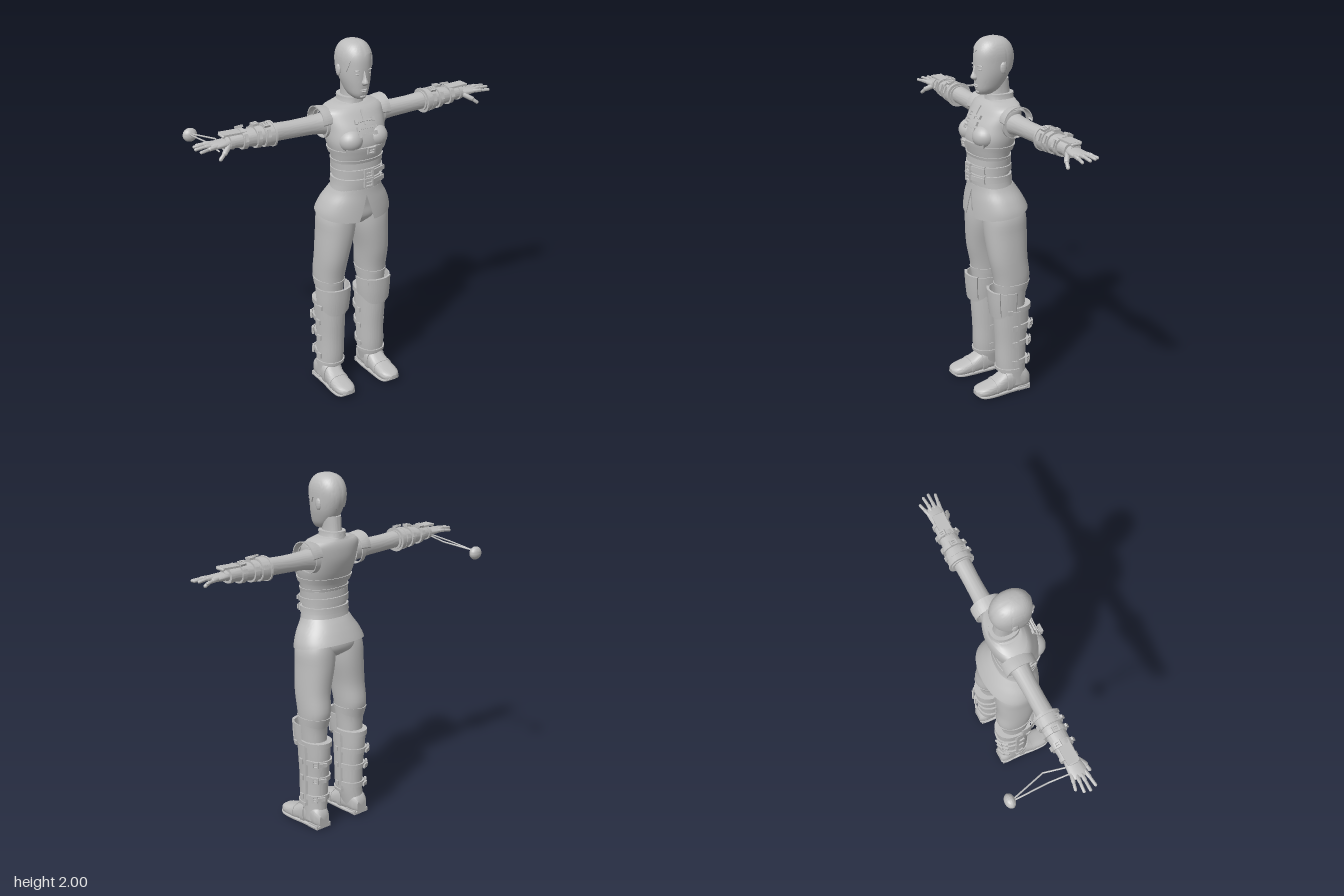
import * as THREE from 'three';
import { toCreasedNormals, mergeGeometries } from 'three/addons/utils/BufferGeometryUtils.js';

const V = (x, y, z) => new THREE.Vector3(x, y, z);
const PI = Math.PI;

// Cross-sections are [y, centreX, radiusX, backZ, frontZ]; blended smoothly along y
function sectionAt(secs, y) {
  const last = secs.length - 1;
  y = Math.min(Math.max(y, secs[0][0]), secs[last][0]);
  let i = 0;
  while (i < last - 1 && y > secs[i + 1][0]) i++;
  const slope = (j, k) => {
    const a = secs[Math.max(j - 1, 0)], b = secs[Math.min(j + 1, last)];
    return (b[k] - a[k]) / (b[0] - a[0]);
  };
  const h = secs[i + 1][0] - secs[i][0], t = (y - secs[i][0]) / h, t2 = t * t, t3 = t2 * t;
  return [1, 2, 3, 4].map(k => (2 * t3 - 3 * t2 + 1) * secs[i][k] + (t3 - 2 * t2 + t) * h * slope(i, k)
    + (3 * t2 - 2 * t3) * secs[i + 1][k] + (t3 - t2) * h * slope(i + 1, k));
}
function pointOn(secs, y, a, grow = 0, p = 2.2) {
  const [cx, rx, zb, zf] = sectionAt(secs, y);
  const f = c => Math.sign(c) * Math.abs(c) ** (2 / p);
  return V(cx + (rx + grow) * f(Math.cos(a)), y, (zb + zf) / 2 + ((zf - zb) / 2 + grow) * f(Math.sin(a)));
}
const layer = (g, k = 8) => [[0, 0], ...Array.from({ length: k + 1 }, (_, i) => [i / k, g]), [1, 0]];

// Skin over the sections; lo/hi trim it, rows give [fraction, outward growth]
function loft(secs, o = {}) {
  const { p = 2.2, n = 48, a0 = 0, a1 = 2 * PI, cap = true } = o;
  const lo = o.lo ?? secs[0][0], hi = o.hi ?? secs[secs.length - 1][0];
  const rows = o.rows ?? Array.from({ length: 25 }, (_, i) => [i / 24, 0]);
  const full = a1 - a0 > 6.28, cols = full ? n : n + 1, pos = [], idx = [];
  for (const [s, g] of rows) for (let i = 0; i < cols; i++) {
    const a = a0 + (a1 - a0) * i / n, l = typeof lo === 'function' ? lo(a) : lo;
    const edge = !full && (i === 0 || i === n);
    pos.push(...pointOn(secs, l + (hi - l) * s, a, edge ? 0 : g, p).toArray());
  }
  for (let r = 0; r < rows.length - 1; r++) for (let i = 0; i < n; i++) {
    const a = r * cols + i, b = r * cols + (i + 1) % cols;
    idx.push(a, a + cols, b, b, a + cols, b + cols);
  }
  if (cap && full) for (const top of [0, 1]) {
    const y = top ? hi : (typeof lo === 'function' ? lo(0) : lo), [cx, , zb, zf] = sectionAt(secs, y);
    if (!top && typeof lo === 'function') continue;
    const c = pos.length / 3, base = top ? (rows.length - 1) * cols : 0;
    pos.push(cx, y, (zb + zf) / 2);
    for (let i = 0; i < n; i++) {
      const a = base + i, b = base + (i + 1) % n;
      idx.push(...(top ? [a, c, b] : [a, b, c]));
    }
  }
  const g = new THREE.BufferGeometry();
  g.setAttribute('position', new THREE.Float32BufferAttribute(pos, 3));
  g.setIndex(idx);
  return g;
}
const band = (secs, lo, hi, g, o = {}) => loft(secs, { lo, hi, rows: layer(g, 3), cap: false, ...o });

// Seat a small piece on the skin, facing outward
function place(geo, secs, y, a, grow = 0, p = 2.2) {
  const o = pointOn(secs, y, a, grow, p), e = 0.01;
  const u = pointOn(secs, y, a - e, grow, p).sub(pointOn(secs, y, a + e, grow, p)).normalize();
  const v = pointOn(secs, y + e, a, grow, p).sub(pointOn(secs, y - e, a, grow, p));
  const n = u.clone().cross(v).normalize();
  return geo.applyMatrix4(new THREE.Matrix4().makeBasis(u, n.clone().cross(u), n).setPosition(o));
}
const box = (w, h, d) => new THREE.BoxGeometry(w, h, d);
const ball = (x, y, z, a, b, c) => new THREE.SphereGeometry(1, 24, 16).scale(a, b, c).translate(x, y, z);
function rod(a, b, r) {
  const d = b.clone().sub(a), q = new THREE.Quaternion().setFromUnitVectors(V(0, 1, 0), d.clone().normalize());
  return new THREE.CapsuleGeometry(r, d.length(), 5, 10).applyQuaternion(q).translate(...a.clone().add(b).multiplyScalar(0.5).toArray());
}
// Square buckle frame with a prong
function buckle(w, h, t = 0.008) {
  const rect = (c, x, y) => c.moveTo(-x, -y).lineTo(x, -y).lineTo(x, y).lineTo(-x, y).closePath();
  const s = rect(new THREE.Shape(), w / 2, h / 2);
  s.holes.push(rect(new THREE.Path(), w / 2 - t, h / 2 - t));
  const frame = new THREE.ExtrudeGeometry(s, { depth: 0.012, bevelEnabled: false });
  return mergeGeometries([frame, box(w, 0.006, 0.008).translate(0, 0, 0.008).toNonIndexed()]);
}

// Body cross-sections
const HEAD = [[1.695, 0, .025, .12, .19], [1.715, 0, .046, .08, .205], [1.76, 0, .064, .04, .211], [1.81, 0, .076, .015, .213],
  [1.87, 0, .08, 0, .214], [1.92, 0, .079, .005, .208], [1.96, 0, .066, .025, .188], [1.985, 0, .042, .055, .16], [1.995, 0, .015, .09, .125]];
const NECK = [[1.63, 0, .06, 0, .14], [1.68, 0, .046, .01, .13], [1.77, 0, .046, .02, .125]];
const VEST = [[1.36, 0, .139, .04, .235], [1.4, 0, .147, .03, .245], [1.47, 0, .165, 0, .256], [1.54, 0, .17, -.02, .236],
  [1.6, 0, .178, -.022, .2], [1.635, 0, .17, -.015, .175], [1.652, 0, .12, -.005, .155], [1.665, 0, .065, 0, .14]];
const WAIST = [[1.17, 0, .145, .02, .23], [1.24, 0, .133, .033, .235], [1.3, 0, .133, .037, .235], [1.38, 0, .14, .04, .232]];
const SKIRT = [[1, 0, .212, -.07, .25], [1.07, 0, .208, -.057, .247], [1.13, 0, .185, -.03, .243], [1.18, 0, .153, 0, .238], [1.21, 0, .138, .022, .236]];
const HIPS = [[.985, 0, .08, .04, .17], [1.03, 0, .18, -.02, .21], [1.1, 0, .18, -.02, .215], [1.2, 0, .135, .03, .225]];
const LEG = [[.48, .135, .065, 0, .15], [.6, .136, .072, -.008, .165], [.68, .135, .079, -.03, .175], [.8, .128, .086, -.02, .2],
  [.95, .108, .099, -.024, .215], [1.05, .1, .1, -.02, .214], [1.14, .075, .08, 0, .2]];
const BOOT = [[.04, .145, .052, -.012, .13], [.15, .135, .062, -.008, .15], [.3, .132, .065, -.015, .155], [.42, .133, .07, -.028, .162], [.52, .134, .074, -.03, .165]];
const KNEE = [[.45, .134, .08, 0, .18], [.54, .132, .088, 0, .19], [.63, .13, .094, -.01, .196]];
// Arms run along x (second value is minus height), feet along z (last two are minus top and minus bottom)
const ARM = [[.13, -1.555, .062, .01, .13], [.22, -1.558, .05, .018, .115], [.35, -1.56, .046, .022, .11],
  [.47, -1.565, .046, .02, .112], [.6, -1.568, .04, .022, .11], [.74, -1.567, .024, .032, .1]];
const BRACER = [[.46, -1.562, .054, .006, .124], [.54, -1.564, .05, .01, .12], [.62, -1.566, .044, .016, .115], [.72, -1.568, .034, .022, .107]];
const PALM = [[.7, -1.567, .022, .034, .1], [.75, -1.566, .02, .026, .112], [.8, -1.566, .015, .024, .115], [.825, -1.567, .009, .03, .105]];
const FOOT = [[-.022, .145, .035, -.09, -.01], [0, .145, .05, -.12, -.005], [.06, .143, .053, -.145, 0], [.12, .144, .054, -.125, 0],
  [.19, .147, .057, -.088, 0], [.26, .148, .057, -.068, -.004], [.295, .148, .044, -.058, -.01], [.31, .148, .02, -.045, -.02]];
const SOLE = FOOT.map(([z, x, r, t, b]) => [z, x, r + .003, Math.min(b - .014, -.02), b]);

export function createModel() {
  const model = new THREE.Group();
  const grey = new THREE.MeshStandardMaterial({ color: 0xbdbdbd, side: THREE.DoubleSide });
  grey.name = 'plain grey';
  const add = (name, geo) => {
    const m = new THREE.Mesh(toCreasedNormals(geo, 0.65), grey);
    m.name = name;
    model.add(m);
  };
  const pair = (name, geo) => {
    add(name + 'Left', geo);
    const g = (geo.index ? geo.toNonIndexed() : geo.clone()).scale(-1, 1, 1);
    for (const at of Object.values(g.attributes)) for (let i = 0; i < at.count; i += 3) for (let k = 0; k < at.itemSize; k++) {
      const t = at.getComponent(i + 1, k);
      at.setComponent(i + 1, k, at.getComponent(i + 2, k));
      at.setComponent(i + 2, k, t);
    }
    add(name + 'Right', g);
  };
  const alongX = g => g.rotateZ(-PI / 2), alongZ = g => g.rotateX(PI / 2);

  // Head and face
  add('head', loft(HEAD));
  add('neck', loft(NECK));
  const hairline = a => {
    const s = Math.sin(a), front = THREE.MathUtils.smoothstep(s, .35, .85);
    if (s > .18) return 1.84 + .095 * front - .012 * Math.max(0, 1 - Math.abs(Math.cos(a)) * 8);
    return s > -.3 ? 1.872 : 1.815 + .01 * Math.cos(a * 6);
  };
  add('hair', loft(HEAD, { lo: hairline, n: 72, rows: layer(.007, 20).slice(0, -1) }));
  add('nose', loft([[1.773, 0, .012, .18, .218], [1.788, 0, .017, .18, .238], [1.81, 0, .01, .18, .23], [1.85, 0, .008, .18, .216]], { n: 16 }));
  add('upperLip', ball(0, 1.749, .206, .021, .005, .011));
  add('lowerLip', ball(0, 1.739, .204, .017, .006, .012));
  add('chin', ball(0, 1.712, .188, .022, .016, .02));
  pair('eye', ball(.033, 1.833, .197, .014, .006, .011));
  pair('brow', ball(.034, 1.853, .198, .02, .005, .013).rotateZ(.001));
  pair('ear', ball(.081, 1.838, .088, .009, .032, .019));

  // Vest with collar, hem, back yoke and shoulder caps
  add('vest', loft(VEST));
  pair('chest', ball(.075, 1.485, .2, .068, .062, .066));
  add('collar', band(NECK, 1.655, 1.685, .016));
  add('collarRim', band(NECK, 1.683, 1.693, .02));
  add('neckYoke', band(VEST, 1.645, 1.662, .006));
  add('chestBand', band(VEST, a => 1.41 + .008 * Math.sin(a), 1.435, .008));
  add('vestHem', band(VEST, 1.36, 1.376, .007));
  const CAP = [[.14, -1.57, .07, -.012, .15], [.18, -1.567, .08, -.014, .152], [.207, -1.563, .088, -.012, .15]];
  pair('shoulderCap', alongX(loft(CAP, { a0: PI * .52, a1: PI * 1.48, rows: layer(.006) })));
  const ringSecs = [[.15, -1.563, .078, -.008, .146], [.18, -1.56, .072, -.004, .142]];
  pair('armholeRim', alongX(loft(ringSecs, { rows: layer(.005, 3), cap: false })));

  // Front closure of toggles and the chest buckle
  const F = PI / 2;
  add('placket', place(box(.012, .08, .008), VEST, 1.6, F, .002));
  [1.585, 1.552, 1.52].forEach((y, i) => {
    add('toggleBar' + i, place(box(i === 1 ? .12 : .1, .01, .01), VEST, y, F, .006));
    for (const s of [-1, 1]) add('toggleEnd' + i, place(box(.018, .022, .014), VEST, y, F + s * .24, .008));
  });
  add('chestStrap', band(VEST, 1.433, 1.452, .012, { a0: F - .8, a1: F + .8 }));
  add('chestBuckle', place(buckle(.045, .04), VEST, 1.442, F, .022));

  // Waist wrap and belts
  add('waist', loft(WAIST));
  add('upperWrap', band(WAIST, 1.325, 1.362, .008));
  add('lowerWrap', band(WAIST, 1.2, 1.238, .006));
  [1.305, 1.252].forEach((y, i) => {
    add('belt' + i, band(WAIST, y - .017, y + .017, .011));
    add('beltBuckle' + i, place(buckle(.055, .05), WAIST, y, F, .018));
    add('beltTongue' + i, place(box(.1, .024, .008), WAIST, y, F - .45, .017));
    add('beltLoop' + i, place(box(.012, .042, .012), WAIST, y, F - .75, .014));
  });

  // Split skirt over the hips
  const skirtHem = a => 1.055 - .028 * Math.sin(a) + (Math.sin(a) > 0 ? Math.max(0, .15 - Math.abs(Math.cos(a)) * .85) : 0);
  add('skirt', loft(SKIRT, { lo: skirtHem, n: 96, rows: layer(.004, 14), cap: false }));
  add('hips', loft(HIPS));

  // Legs, boots and guards
  pair('trouserLeg', loft(LEG));
  pair('trouserFold', band(LEG, a => .625 + .02 * Math.sin(a), .66, .006, { p: 2 }));
  pair('bootShaft', loft(BOOT));
  pair('bootCuff', band(BOOT, .49, .52, .008));
  pair('shinGuard', loft(BOOT, { lo: .14, hi: .5, a0: -.12, a1: PI + .12, rows: layer(.012, 12) }));
  pair('shinGuardRim', band(BOOT, .132, .15, .019, { a0: -.12, a1: PI + .12 }));
  const kneeHem = a => .46 + .05 * Math.abs(Math.cos(a)) ** 4;
  pair('kneeGuard', loft(KNEE, { lo: kneeHem, hi: .618, a0: -.1, a1: PI + .1, rows: layer(.006) }));
  pair('kneePanel', loft(KNEE, { lo: a => .468 + .02 * Math.abs(Math.cos(a)), hi: .622, a0: F - .75, a1: F + .75, rows: layer(.013) }));
  pair('kneeStud', place(box(.026, .026, .012), KNEE, .505, .3, .008));
  [.4, .3, .185].forEach((y, i) => {
    pair('bootStrap' + i, band(BOOT, y - .014, y + .014, .01, { a0: -PI - .1, a1: .1 }));
    pair('bootBuckle' + i, place(buckle(.035, .04), BOOT, y, -.75, .012));
    pair('bootTongue' + i, place(box(.045, .022, .01), BOOT, y, -1.2, .02));
    pair('bootStud' + i, place(box(.03, .03, .012), BOOT, y, .2, .014));
    pair('innerStud' + i, place(box(.024, .026, .01), BOOT, y, PI - .2, .013));
  });
  pair('shoe', alongZ(loft(FOOT, { p: 2.6 })));
  pair('sole', alongZ(loft(SOLE, { p: 5 })));
  pair('heel', box(.1, .025, .075).translate(.145, .0125, .022));
  pair('instepStrap', alongZ(band(FOOT, .1, .13, .006, { p: 2.6 })));
  pair('toeSeam', alongZ(band(FOOT, .185, .2, .003, { p: 2.6 })));

  // Arms and bracers
  pair('arm', alongX(loft(ARM)));
  pair('bracer', alongX(loft(BRACER)));
  pair('bracerCuff', alongX(band(BRACER, .47, .53, .008)));
  pair('bracerCuffRim', alongX(band(BRACER, .468, .478, .013)));
  pair('bracerEnd', alongX(band(BRACER, .7, .72, .006)));
  [.515, .565, .64].forEach((x, i) => {
    pair('bracerStrap' + i, alongX(band(BRACER, x - .012, x + .012, .01)));
    pair('bracerBuckle' + i, alongX(place(buckle(.036, .034), BRACER, x, PI + (i - 1) * .4, .012)));
    pair('bracerTongue' + i, alongX(place(box(.04, .016, .01), BRACER, x, PI * .62, .014)));
    pair('bracerStud' + i, alongX(place(box(.022, .024, .012), BRACER, x, PI * 1.4, .012)));
  });
  pair('handPlate', box(.13, .01, .065).rotateZ(.03).translate(.69, 1.61, .066));
  pair('handPlateRoll', rod(V(.752, 1.607, .045), V(.752, 1.607, .088), .009));

  // Hands
  pair('palm', alongX(loft(PALM, { n: 24 })));
  [[.036, .018, .868, 1.563], [.058, .05, .896, 1.57], [.08, .082, .903, 1.568], [.102, .117, .89, 1.562]].forEach(([z0, z1, x, y], i) => {
    const mid = V((.79 + x) / 2, y + .004, (z0 + z1) / 2);
    pair('fingerBase' + i, rod(V(.79, 1.567, z0), mid, .0105));
    pair('fingerTip' + i, rod(mid, V(x, y, z1), .0085));
  });
  pair('thumbBase', rod(V(.73, 1.558, .1), V(.768, 1.535, .128), .014));
  pair('thumbTip', rod(V(.768, 1.535, .128), V(.797, 1.512, .138), .01));

  // Sling in the right hand
  const cords = [[V(-.785, 1.54, .1), V(-.77, 1.53, -.08), V(-.768, 1.508, -.26)], [V(-.765, 1.545, .12), V(-.715, 1.535, -.08), V(-.76, 1.512, -.26)]];
  cords.forEach((c, i) => [0, 1].forEach(k => add('slingCord' + i + k, rod(c[k], c[k + 1], .0045))));
  add('slingStone', ball(-.76, 1.5, -.284, .04, .037, .028));
  return model;
}
